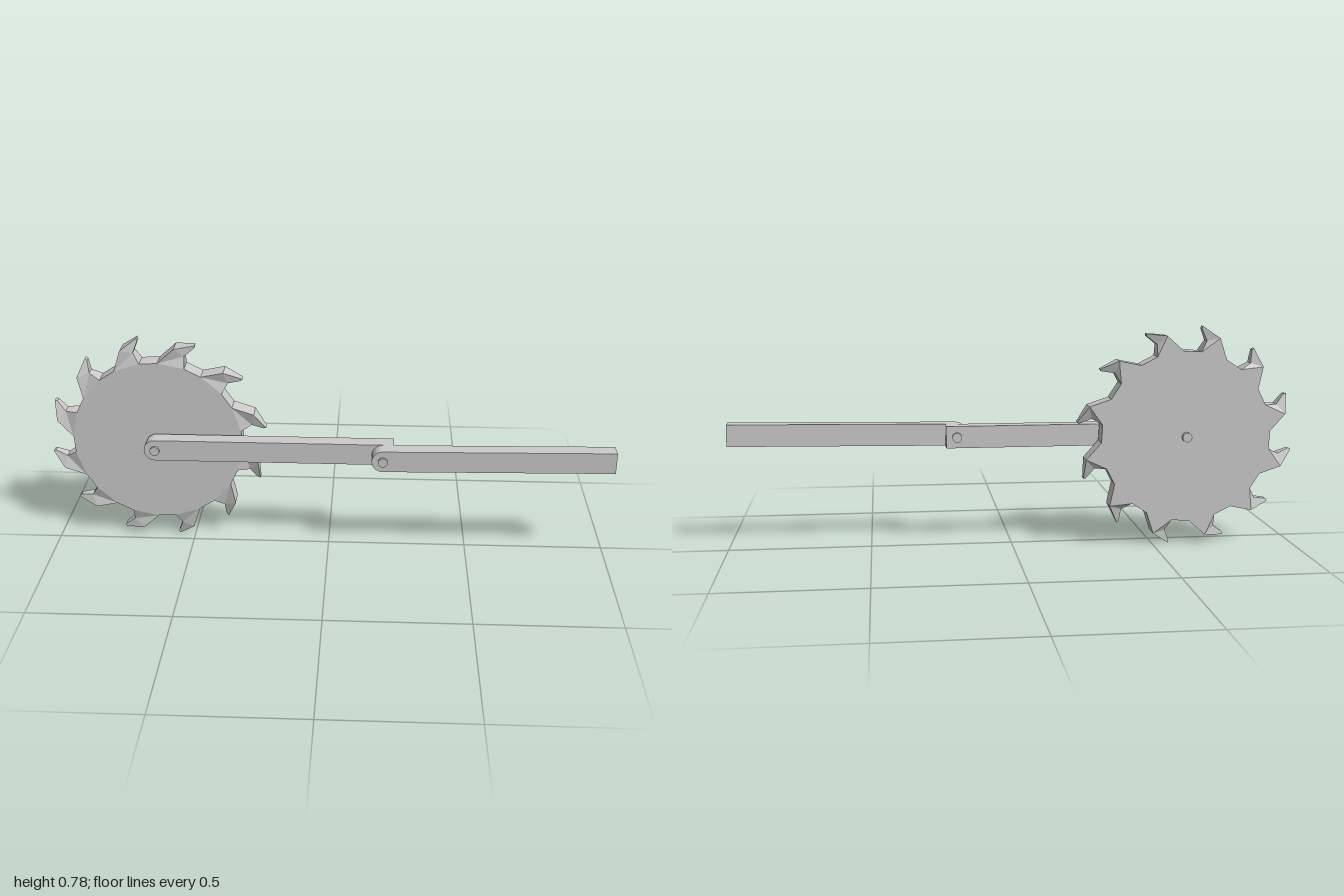
import * as THREE from 'three';

const mat = new THREE.MeshStandardMaterial({ color: 0xcccccc, flatShading: true });
const thinMat = new THREE.MeshStandardMaterial({ color: 0xcccccc, flatShading: true, side: THREE.DoubleSide });
const RAD = Math.PI / 180;
const PIVOT = [-0.614, 0.388], ELBOW = [0.193, 0.388];
const TEETH = 12, STEP = 30, FIRST = 8;
const BLADE_Z = -0.055, HALF = 0.033, ROOT = 0.305;

function add(parent, name, geometry, material = mat) {
  const mesh = new THREE.Mesh(geometry, material);
  mesh.name = name;
  parent.add(mesh);
  return mesh;
}

// Flat-faced geometry from a list of quads, each with corners counter-clockwise
function quads(list) {
  const pos = [];
  for (const [a, b, c, d] of list) pos.push(...a, ...b, ...c, ...a, ...c, ...d);
  const g = new THREE.BufferGeometry();
  g.setAttribute('position', new THREE.Float32BufferAttribute(pos, 3));
  g.computeVertexNormals();
  return g;
}

const polar = (r, deg) => [r * Math.cos(deg * RAD), r * Math.sin(deg * RAD)];

// Hooked tooth: sections of [trailing r, angle, half width], [leading r, angle, half width]
function toothGeometry() {
  const sections = [
    [[ROOT, 19, HALF], [ROOT, 1, HALF]],
    [[0.366, 10, HALF], [0.345, 3.5, 0.02]],
    [[0.393, 0, 0.012], [0.384, -0.3, 0.011]],
  ].map(([t, l]) => {
    const T = polar(t[0], t[1]), L = polar(l[0], l[1]);
    return [[...T, t[2]], [...L, l[2]], [...L, -l[2]], [...T, -t[2]]];
  });
  const list = [];
  for (let i = 0; i < sections.length - 1; i++) {
    for (let j = 0; j < 4; j++) {
      const k = (j + 1) % 4;
      list.push([sections[i][j], sections[i][k], sections[i + 1][k], sections[i + 1][j]]);
    }
  }
  list.push(sections[sections.length - 1]);
  return quads(list);
}

// Saw blade: faceted disc with a ring of teeth
function createBlade() {
  const blade = new THREE.Group();
  blade.name = 'sawBlade';
  const outline = [];
  for (let i = 0; i < TEETH; i++) {
    for (const offset of [1, 19]) {
      outline.push(new THREE.Vector2(...polar(ROOT, FIRST + i * STEP + offset)));
    }
  }
  const disc = new THREE.ExtrudeGeometry(new THREE.Shape(outline), { depth: 2 * HALF, bevelEnabled: false });
  disc.translate(0, 0, -HALF);
  add(blade, 'bladeDisc', disc);
  const tooth = toothGeometry();
  for (let i = 0; i < TEETH; i++) {
    add(blade, 'bladeTooth', tooth).rotation.z = (FIRST + i * STEP) * RAD;
  }
  blade.position.set(...PIVOT, BLADE_Z);
  return blade;
}

// Hollow arm, rounded around its pivot and square at the far end
function createArm(name, pivot, length, z0, z1, tilt, openEnd) {
  const arm = new THREE.Group();
  arm.name = name;
  const r = 0.039, steps = 14;
  const outline = [[length, r]];
  for (let i = 0; i <= steps; i++) outline.push(polar(r, 90 + (180 * i) / steps));
  outline.push([length, -r]);

  const face = new THREE.ShapeGeometry(new THREE.Shape(outline.map(p => new THREE.Vector2(...p))));
  add(arm, name + 'FrontFace', face, thinMat).position.z = z1;
  add(arm, name + 'BackFace', face, thinMat).position.z = z0;

  const walls = [];
  const count = openEnd ? outline.length - 1 : outline.length;
  for (let i = 0; i < count; i++) {
    const a = outline[i], b = outline[(i + 1) % outline.length];
    walls.push([[...a, z1], [...a, z0], [...b, z0], [...b, z1]]);
  }
  add(arm, name + 'Walls', quads(walls), thinMat);
  arm.position.set(...pivot, 0);
  arm.rotation.z = tilt;
  return arm;
}

// Pivot pin along z
function addPin(parent, name, [x, y], z0, z1) {
  const g = new THREE.CylinderGeometry(0.017, 0.017, z1 - z0, 16);
  g.rotateX(Math.PI / 2);
  add(parent, name, g).position.set(x, y, (z0 + z1) / 2);
}

export function createModel() {
  const model = new THREE.Group();
  model.name = 'sawArm';
  model.add(createBlade());
  model.add(createArm('innerArm', PIVOT, 0.845, -0.007, 0.047, 0, false));
  model.add(createArm('outerArm', ELBOW, 0.805, 0.047, 0.1, 0.0137, true));
  addPin(model, 'bladePin', PIVOT, -0.105, 0.056);
  addPin(model, 'elbowPin', ELBOW, -0.02, 0.108);
  return model;
}
